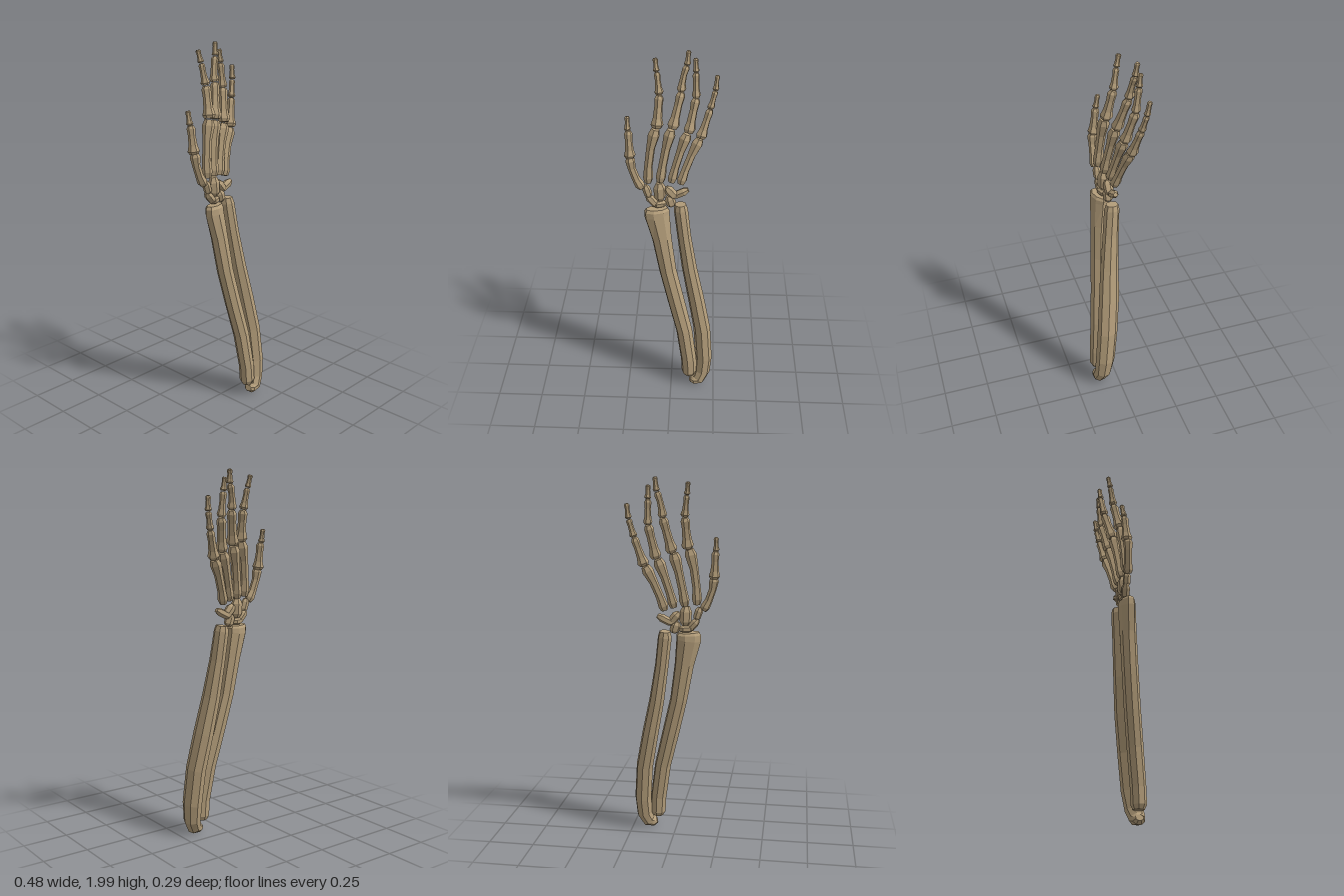
import * as THREE from 'three';

const bone = new THREE.MeshStandardMaterial({ color: 0xb39d7a, flatShading: true });
bone.name = 'bone';

// Direction the palm plane faces; every cross-section is aligned to it
const PALM = new THREE.Vector3(0.29, 0, 0.957).normalize();

// Skin a faceted solid over cross-sections [x, y, z, halfWidth, halfDepth]
function loft(name, rows, sides) {
  const centres = rows.map(r => new THREE.Vector3(r[0], r[1], r[2]));
  const last = rows.length - 1;
  const rings = rows.map((r, i) => {
    const t = centres[Math.min(i + 1, last)].clone().sub(centres[Math.max(i - 1, 0)]).normalize();
    const v = PALM.clone().addScaledVector(t, -PALM.dot(t)).normalize();
    const u = v.clone().cross(t);
    return Array.from({ length: sides }, (_, j) => {
      const a = (j + (sides === 8 ? 0.5 : 0)) / sides * Math.PI * 2;
      return centres[i].clone().addScaledVector(u, Math.cos(a) * r[3]).addScaledVector(v, Math.sin(a) * r[4]);
    });
  });
  const pts = [];
  for (let j = 0; j < sides; j++) {
    const k = (j + 1) % sides;
    for (let i = 0; i < last; i++) {
      const [a, b, c, d] = [rings[i][j], rings[i][k], rings[i + 1][k], rings[i + 1][j]];
      pts.push(a, b, c, a, c, d);
    }
    pts.push(centres[0], rings[0][k], rings[0][j], centres[last], rings[last][j], rings[last][k]);
  }
  const geo = new THREE.BufferGeometry().setFromPoints(pts);
  geo.computeVertexNormals();
  const mesh = new THREE.Mesh(geo, bone);
  mesh.name = name;
  return mesh;
}

// Finger bone: flared ends, narrow shaft, optional sideways bow
function phalanx(name, a, b, wa, wb, bow = 0) {
  const profile = [[0, 0.72], [0.1, 1], [0.3, 0.8], [0.65, 0.78], [0.9, 1], [1, 0.7]];
  const rows = profile.map(([t, s]) => {
    const w = s * THREE.MathUtils.lerp(wa, wb, t);
    const p = a.map((n, i) => THREE.MathUtils.lerp(n, b[i], t));
    return [p[0] + bow * Math.sin(Math.PI * t), p[1], p[2], w, w * 1.05];
  });
  return loft(name, rows, 6);
}

export function createModel() {
  const model = new THREE.Group();
  model.name = 'armSkeleton';

  // Forearm
  const forearm = new THREE.Group();
  forearm.name = 'forearm';
  forearm.add(loft('radius', [
    [0.108, 0.085, 0.105, 0.030, 0.030],
    [0.107, 0.110, 0.105, 0.044, 0.042],
    [0.103, 0.200, 0.102, 0.045, 0.042],
    [0.075, 0.400, 0.085, 0.046, 0.044],
    [0.027, 0.600, 0.066, 0.048, 0.044],
    [-0.020, 0.800, 0.050, 0.048, 0.044],
    [-0.052, 1.000, 0.037, 0.054, 0.044],
    [-0.077, 1.140, 0.027, 0.070, 0.044],
    [-0.078, 1.168, 0.026, 0.070, 0.042],
    [-0.078, 1.182, 0.025, 0.060, 0.033],
  ], 8));
  forearm.add(loft('ulna', [
    [0.113, 0.048, 0.110, 0.017, 0.022],
    [0.130, 0.043, 0.108, 0.030, 0.036],
    [0.160, 0.050, 0.103, 0.040, 0.044],
    [0.182, 0.100, 0.090, 0.045, 0.050],
    [0.189, 0.200, 0.078, 0.047, 0.058],
    [0.175, 0.400, 0.060, 0.047, 0.060],
    [0.138, 0.600, 0.040, 0.045, 0.060],
    [0.098, 0.800, 0.024, 0.041, 0.054],
    [0.067, 1.000, 0.008, 0.037, 0.046],
    [0.048, 1.160, -0.004, 0.038, 0.042],
    [0.046, 1.190, -0.006, 0.030, 0.034],
  ], 8));
  model.add(forearm);

  // Wrist: small pebbles [x, y, z, halfLength, halfWidth, halfDepth, tilt]
  const wrist = new THREE.Group();
  wrist.name = 'wrist';
  const pebbles = [
    [-0.128, 1.285, 0.022, 0.036, 0.022, 0.022, 0.3],
    [-0.063, 1.275, 0.008, 0.052, 0.033, 0.030, 0.05],
    [-0.103, 1.225, 0.018, 0.040, 0.022, 0.024, 0.7],
    [-0.065, 1.203, 0.012, 0.018, 0.042, 0.026, 0],
    [-0.005, 1.265, -0.002, 0.038, 0.026, 0.026, 0.7],
    [-0.008, 1.213, 0.000, 0.032, 0.028, 0.026, 0.3],
    [0.045, 1.255, -0.012, 0.046, 0.022, 0.024, -1.1],
  ];
  pebbles.forEach(([x, y, z, len, w, d, tilt], i) => {
    const rows = [[-1, 0.55], [-0.6, 0.95], [0.45, 1], [1, 0.55]].map(([t, s]) =>
      [x - Math.sin(tilt) * len * t, y + Math.cos(tilt) * len * t, z, w * s, d * s]);
    wrist.add(loft('carpal' + (i + 1), rows, 6));
  });
  model.add(wrist);

  // Hand: each segment is start, end, start and end half-width, bow
  const fingers = {
    thumb: [
      [[-0.155, 1.305, 0.025], [-0.213, 1.480, 0.020], 0.026, 0.026, -0.014],
      [[-0.213, 1.475, 0.015], [-0.220, 1.620, 0.000], 0.031, 0.020],
      [[-0.223, 1.622, -0.002], [-0.224, 1.693, -0.015], 0.018, 0.013],
    ],
    indexFinger: [
      [[-0.122, 1.335, 0.020], [-0.083, 1.630, -0.005], 0.026, 0.032, -0.012],
      [[-0.076, 1.635, -0.010], [-0.064, 1.795, -0.045], 0.034, 0.023],
      [[-0.064, 1.800, -0.047], [-0.076, 1.908, -0.065], 0.024, 0.015],
      [[-0.078, 1.912, -0.066], [-0.085, 1.975, -0.080], 0.017, 0.013],
    ],
    middleFinger: [
      [[-0.060, 1.330, 0.003], [-0.006, 1.610, -0.038], 0.027, 0.032, -0.006],
      [[0.002, 1.617, -0.042], [0.044, 1.795, -0.088], 0.033, 0.024],
      [[0.044, 1.800, -0.090], [0.070, 1.925, -0.110], 0.025, 0.018, -0.006],
      [[0.072, 1.930, -0.110], [0.078, 2.000, -0.118], 0.019, 0.013],
    ],
    ringFinger: [
      [[-0.002, 1.322, -0.010], [0.076, 1.580, -0.055], 0.025, 0.032, -0.006],
      [[0.084, 1.587, -0.058], [0.118, 1.758, -0.100], 0.032, 0.024],
      [[0.119, 1.762, -0.100], [0.115, 1.888, -0.115], 0.024, 0.018],
      [[0.116, 1.892, -0.115], [0.112, 1.960, -0.122], 0.018, 0.013],
    ],
    littleFinger: [
      [[0.046, 1.308, -0.018], [0.140, 1.545, -0.070], 0.026, 0.031, -0.008],
      [[0.145, 1.550, -0.073], [0.190, 1.695, -0.105], 0.032, 0.020],
      [[0.191, 1.700, -0.106], [0.214, 1.788, -0.122], 0.021, 0.016],
      [[0.215, 1.793, -0.122], [0.222, 1.868, -0.132], 0.018, 0.013],
    ],
  };
  for (const [name, segments] of Object.entries(fingers)) {
    const finger = new THREE.Group();
    finger.name = name;
    segments.forEach((s, i) => finger.add(phalanx(i ? 'phalanx' + i : 'metacarpal', ...s)));
    model.add(finger);
  }
  return model;
}
